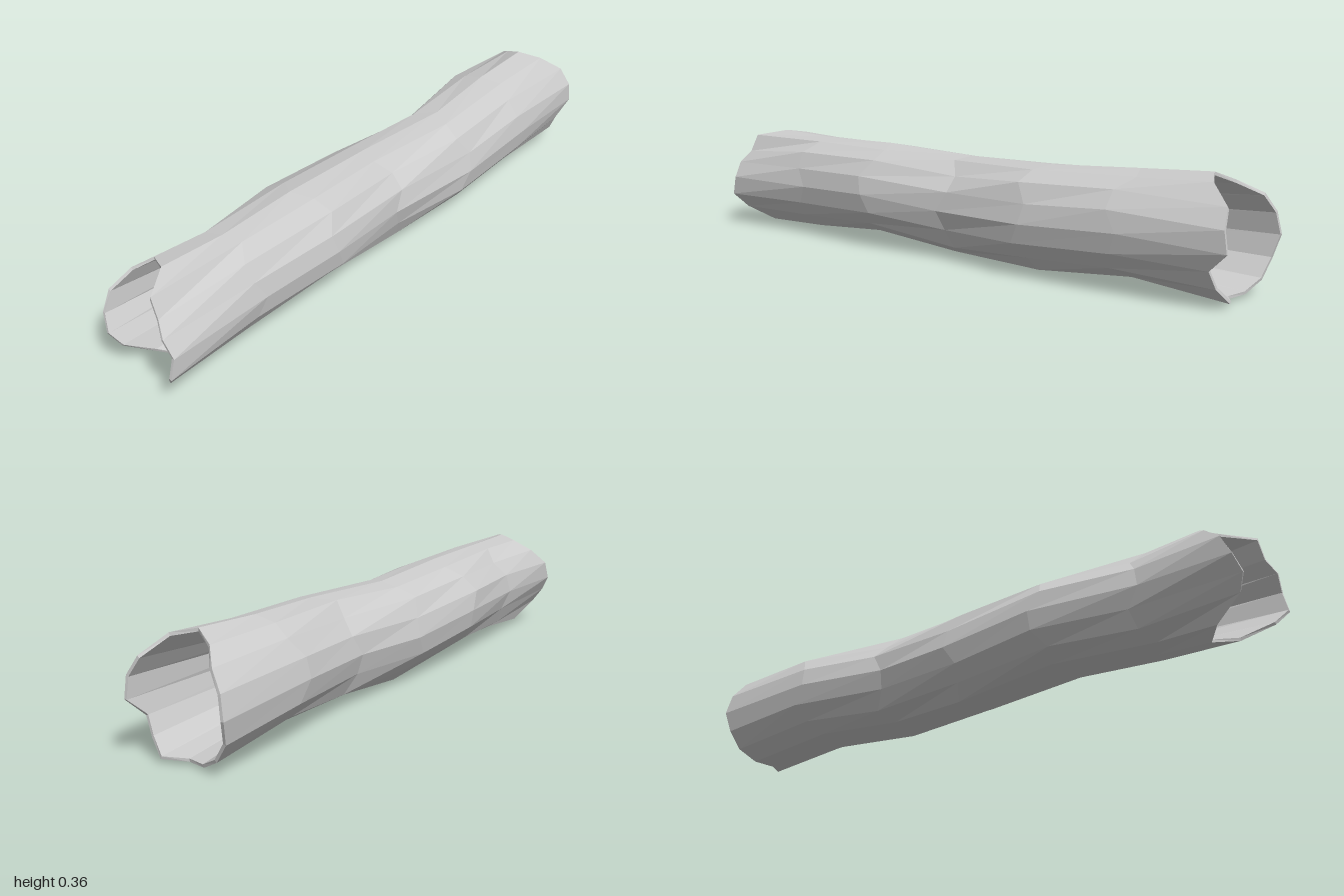
import * as THREE from 'three';

const SIDES = 16;
const CY = 0.178;
const angle = (i) => (i / SIDES) * Math.PI * 2; // clockwise from the top, seen from the front

// Ragged ends: radius and z for each side, starting at the top
const FRONT_R = [0.168, 0.16, 0.128, 0.136, 0.157, 0.168, 0.16, 0.17, 0.17, 0.168, 0.136, 0.134, 0.152, 0.165, 0.168, 0.17];
const FRONT_Z = [0.87, 0.965, 0.97, 0.99, 0.985, 1, 0.97, 0.88, 0.82, 0.87, 0.96, 0.985, 0.97, 0.94, 0.88, 0.84];
const BACK_R = [0.191, 0.19, 0.172, 0.17, 0.158, 0.152, 0.16, 0.172, 0.166, 0.175, 0.182, 0.184, 0.182, 0.18, 0.176, 0.176];
const BACK_Z = [-0.875, -0.91, -0.98, -0.99, -1, -0.94, -0.95, -0.97, -0.93, -0.95, -0.97, -0.98, -1, -0.99, -0.97, -0.91];

// Trunk sections: z, xMin, xMax, yMin, yMax
const SECTIONS = [
  [0.65, -0.14, 0.155, 0.02, 0.34],
  [0.33, -0.18, 0.172, 0.035, 0.342],
  [0, -0.167, 0.146, 0.005, 0.33],
  [-0.32, -0.137, 0.184, 0.012, 0.34],
  [-0.64, -0.18, 0.178, 0.03, 0.355],
];

function endRing(radii, depths, scale) {
  return radii.map((r, i) => [Math.sin(angle(i)) * r * scale, CY + Math.cos(angle(i)) * r * scale, depths[i]]);
}

function ovalRing([z, x0, x1, y0, y1], uneven) {
  return Array.from({ length: SIDES }, (_, i) => {
    const a = angle(i);
    // bulge only between the four extremes, so the overall size holds
    const bump = 1 + uneven * Math.sin(2 * a) ** 2 * Math.sin(i * 2.3 + z * 7);
    return [
      (x0 + x1) / 2 + (Math.sin(a) * bump * (x1 - x0)) / 2,
      (y0 + y1) / 2 + (Math.cos(a) * bump * (y1 - y0)) / 2,
      z + uneven * 0.5 * Math.sin(i * 1.9 + z * 5),
    ];
  });
}

// Faceted skin across consecutive rings
function loft(name, rings, material) {
  const index = [];
  for (let r = 0; r < rings.length - 1; r++) {
    for (let i = 0; i < SIDES; i++) {
      const j = (i + 1) % SIDES;
      const a = r * SIDES + i, b = r * SIDES + j;
      index.push(a, b, a + SIDES, b, b + SIDES, a + SIDES);
    }
  }
  const geometry = new THREE.BufferGeometry();
  geometry.setAttribute('position', new THREE.Float32BufferAttribute(rings.flat(2), 3));
  geometry.setIndex(index);
  const faceted = geometry.toNonIndexed();
  faceted.computeVertexNormals();
  const mesh = new THREE.Mesh(faceted, material);
  mesh.name = name;
  return mesh;
}

export function createModel() {
  const wood = new THREE.MeshStandardMaterial({ color: 0xcccccc, flatShading: true, roughness: 0.9 });
  const log = new THREE.Group();
  log.name = 'hollowLog';

  const front = endRing(FRONT_R, FRONT_Z, 1);
  const back = endRing(BACK_R, BACK_Z, 1);
  const innerFront = endRing(FRONT_R, FRONT_Z, 0.945);
  const innerBack = endRing(BACK_R, BACK_Z, 0.945);
  const waist = ovalRing([0, -0.052, 0.102, 0.092, 0.266], 0.02);

  // Bark from front to back, bore narrowing to a waist in the middle
  log.add(loft('bark', [front, ...SECTIONS.map((s) => ovalRing(s, 0.05)), back], wood));
  log.add(loft('bore', [innerBack, waist, innerFront], wood));
  // Thin broken edges
  log.add(loft('frontRim', [innerFront, front], wood));
  log.add(loft('backRim', [back, innerBack], wood));
  return log;
}
